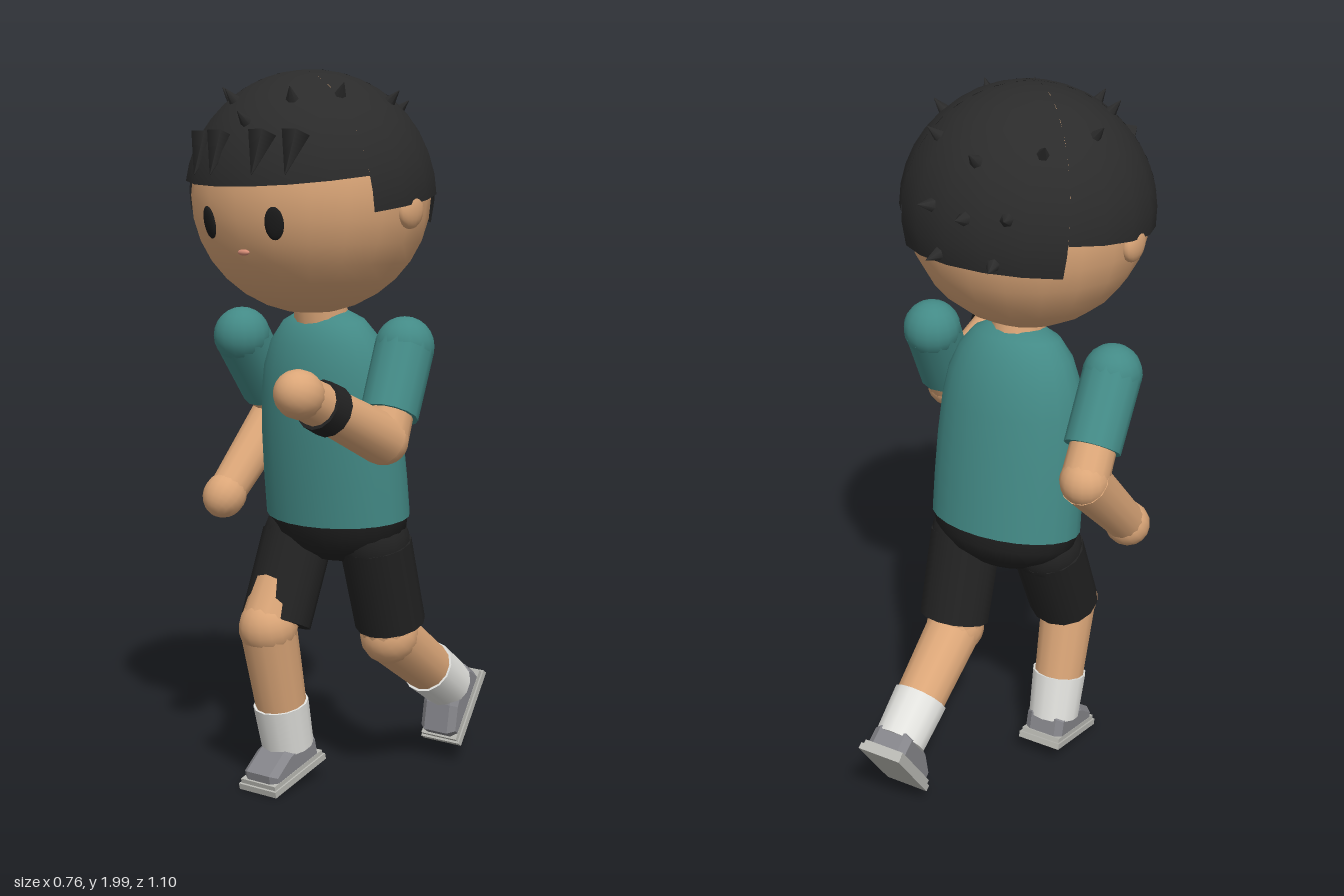
import * as THREE from 'three';

const mat = (name, color, side = THREE.FrontSide) => {
  const m = new THREE.MeshStandardMaterial({ color, side });
  m.name = name;
  return m;
};

export function createModel() {
  const skin = mat('skin', 0xdba678);
  const shirt = mat('teal shirt', 0x438a86, THREE.DoubleSide);
  const hair = mat('black hair', 0x2b2b2b, THREE.DoubleSide);
  const shorts = mat('black shorts', 0x222222, THREE.DoubleSide);
  const sock = mat('white sock', 0xe2e2de);
  const shoe = mat('grey shoe', 0x85858a);
  shoe.flatShading = true;
  const sole = mat('pale sole', 0xb8b8b2);
  const eye = mat('dark eye', 0x1c1c1c);
  const mouth = mat('pink mouth', 0xd98f78);

  const model = new THREE.Group();
  model.name = 'runner';
  const V = (x, y, z) => new THREE.Vector3(x, y, z);

  const add = (parent, name, geometry, material, pos = V(0, 0, 0)) => {
    const mesh = new THREE.Mesh(geometry, material);
    mesh.name = name;
    mesh.position.copy(pos);
    parent.add(mesh);
    return mesh;
  };
  const ball = (parent, name, r, material, pos, sx = 1, sy = 1, sz = 1) => {
    const mesh = add(parent, name, new THREE.SphereGeometry(r, 16, 12), material, pos);
    mesh.scale.set(sx, sy, sz);
    return mesh;
  };
  // Tapered limb between two points, ra at a and rb at b
  const limb = (parent, name, a, b, ra, rb, material, sides = 14) => {
    const dir = b.clone().sub(a);
    const geo = new THREE.CylinderGeometry(rb, ra, dir.length(), sides);
    const mesh = add(parent, name, geo, material, a.clone().add(b).multiplyScalar(0.5));
    mesh.quaternion.setFromUnitVectors(V(0, 1, 0), dir.normalize());
    return mesh;
  };
  const lathe = (points, sides = 24) =>
    new THREE.LatheGeometry(points.map(([x, y]) => new THREE.Vector2(x, y)), sides);

  // Torso and hips lean forward together
  const body = new THREE.Group();
  body.name = 'body';
  body.position.set(0.005, 0.8, -0.05);
  body.rotation.x = 0.12;
  model.add(body);
  const torso = add(body, 'torso', lathe([[0.222, -0.005], [0.221, 0.1], [0.217, 0.22], [0.208, 0.34],
    [0.193, 0.42], [0.165, 0.49], [0.125, 0.54], [0.08, 0.563], [0, 0.567]]), shirt);
  torso.scale.z = 0.69;
  const hips = add(body, 'hips', lathe([[0, -0.14], [0.1, -0.125], [0.17, -0.085], [0.21, -0.04], [0.218, 0.01]]), shorts);
  hips.scale.z = 0.69;
  limb(model, 'neck', V(0.005, 1.33, 0.02), V(0.005, 1.42, 0.04), 0.075, 0.07, skin);

  // Head
  const head = new THREE.Group();
  head.name = 'head';
  head.position.set(0.005, 1.673, 0.07);
  model.add(head);
  add(head, 'face', new THREE.SphereGeometry(0.315, 20, 16), skin).scale.x = 1.03;
  for (const s of [-1, 1]) {
    ball(head, 'ear', 0.05, skin, V(s * 0.315, -0.035, -0.01), 0.5, 1, 1);
    const e = ball(head, 'eye', 1, eye, V(s * 0.107, -0.068, 0.289), 0.026, 0.043, 0.009);
    e.rotation.set(0.2, s * 0.35, 0, 'YXZ');
  }
  ball(head, 'mouth', 1, mouth, V(0, -0.143, 0.281), 0.019, 0.008, 0.008).rotation.x = 0.45;

  // Hair cap: sectors around the head reaching down by different amounts
  const cap = new THREE.Group();
  cap.name = 'hairCap';
  cap.rotation.x = 0.15;
  cap.scale.x = 1.03;
  head.add(cap);
  const deg = Math.PI / 180;
  for (const [name, from, to, theta, segs] of [['frontHair', -65, 65, 1.35, 7], ['leftHair', 65, 134, 1.63, 4],
    ['backHair', 134, 226, 1.9, 5], ['rightHair', 226, 295, 1.63, 4]]) {
    add(cap, name, new THREE.SphereGeometry(0.33, segs, 10, (90 + from) * deg, (to - from) * deg, 0, theta), hair);
  }
  // Small tufts pointing outward, [x, z, sign of y] on the head
  const tuft = (x, z, up) => {
    const r = 0.33;
    const d = V(x, up * Math.sqrt(Math.max(0, r * r - x * x - z * z)), z).normalize();
    limb(head, 'tuft', d.clone().multiplyScalar(0.32), d.clone().multiplyScalar(0.37), 0.02, 0.001, hair, 6);
  };
  for (const s of [-1, 1]) {
    for (const [x, z, up] of [[0.22, -0.05, 1], [0.18, 0.11, 1], [0.095, 0.2, 1], [0.15, -0.19, 1],
      [0.11, -0.3, 1], [0.08, -0.318, -1]]) tuft(s * x, z, up);
    // Fringe spikes pointing down
    for (const [x, z] of [[0.15, 0.265], [0.068, 0.297]])
      limb(head, 'fringe', V(s * x, 0.155, z - 0.01), V(s * x, 0.055, z + 0.033), 0.038, 0.002, hair, 5);
  }
  tuft(0, 0.27, 1);
  tuft(0, -0.26, 1);
  tuft(0, -0.322, 1);

  // Arms
  const arm = (side, shoulder, sleeveEnd, elbow, hand, band) => {
    const g = new THREE.Group();
    g.name = side + 'Arm';
    model.add(g);
    ball(g, 'shoulder', 0.08, shirt, shoulder);
    limb(g, 'sleeve', shoulder, sleeveEnd, 0.079, 0.077, shirt);
    limb(g, 'upperArm', shoulder, elbow, 0.06, 0.064, skin);
    ball(g, 'elbow', 0.066, skin, elbow);
    limb(g, 'forearm', elbow, hand, 0.068, 0.054, skin);
    const h = ball(g, 'hand', 0.062, skin, hand, 1, 1.1, 1);
    h.quaternion.setFromUnitVectors(V(0, 1, 0), hand.clone().sub(elbow).normalize());
    if (band) limb(g, 'wristband', elbow.clone().lerp(hand, 0.64), elbow.clone().lerp(hand, 0.79), 0.068, 0.066, shorts);
  };
  arm('left', V(0.285, 1.28, 0.03), V(0.3, 1.11, 0.12), V(0.31, 1.05, 0.158), V(0.29, 1.197, 0.485), true);
  arm('right', V(-0.28, 1.28, 0.02), V(-0.292, 1.12, -0.11), V(-0.303, 1.055, -0.172), V(-0.323, 0.822, 0.05), false);

  // Shoe upper, side profile in the shin's frame
  const profile = new THREE.Shape([[-0.05, -0.42], [0.13, -0.42], [0.13, -0.4], [0.065, -0.37], [-0.025, -0.355],
    [-0.05, -0.37]].map(([x, y]) => new THREE.Vector2(x, y)));
  const upper = new THREE.ExtrudeGeometry(profile,
    { depth: 0.08, bevelEnabled: true, bevelSegments: 1, bevelSize: 0.015, bevelThickness: 0.02 });
  upper.translate(0, 0, -0.04).rotateY(-Math.PI / 2);

  // Legs: shorts, knee, then a bent shin carrying sock and shoe
  const leg = (side, hip, cuff, knee, bend) => {
    const g = new THREE.Group();
    g.name = side + 'Leg';
    model.add(g);
    ball(g, 'hipJoint', 0.1, shorts, hip, 1, 1, 0.95);
    limb(g, 'shortsLeg', hip, cuff, 0.104, 0.102, shorts).scale.z = 0.92;
    limb(g, 'thigh', hip, knee, 0.08, 0.08, skin);
    const shin = new THREE.Group();
    shin.name = 'lowerLeg';
    shin.position.copy(knee);
    shin.rotation.x = bend;
    g.add(shin);
    ball(shin, 'knee', 0.083, skin, V(0, 0, 0));
    limb(shin, 'shin', V(0, 0, 0), V(0, -0.25, 0), 0.08, 0.072, skin);
    limb(shin, 'sock', V(0, -0.235, 0), V(0, -0.37, 0), 0.079, 0.074, sock);
    add(shin, 'shoe', upper, shoe);
    add(shin, 'welt', new THREE.BoxGeometry(0.122, 0.014, 0.222), sole, V(0, -0.422, 0.04));
    add(shin, 'sole', new THREE.BoxGeometry(0.132, 0.018, 0.235), sole, V(0, -0.437, 0.04));
  };
  leg('left', V(0.125, 0.72, -0.065), V(0.125, 0.48, -0.138), V(0.125, 0.443, -0.134), 0.964);
  leg('right', V(-0.112, 0.72, -0.02), V(-0.112, 0.49, 0.08), V(-0.112, 0.48, 0.115), 0.235);

  return model;
}
